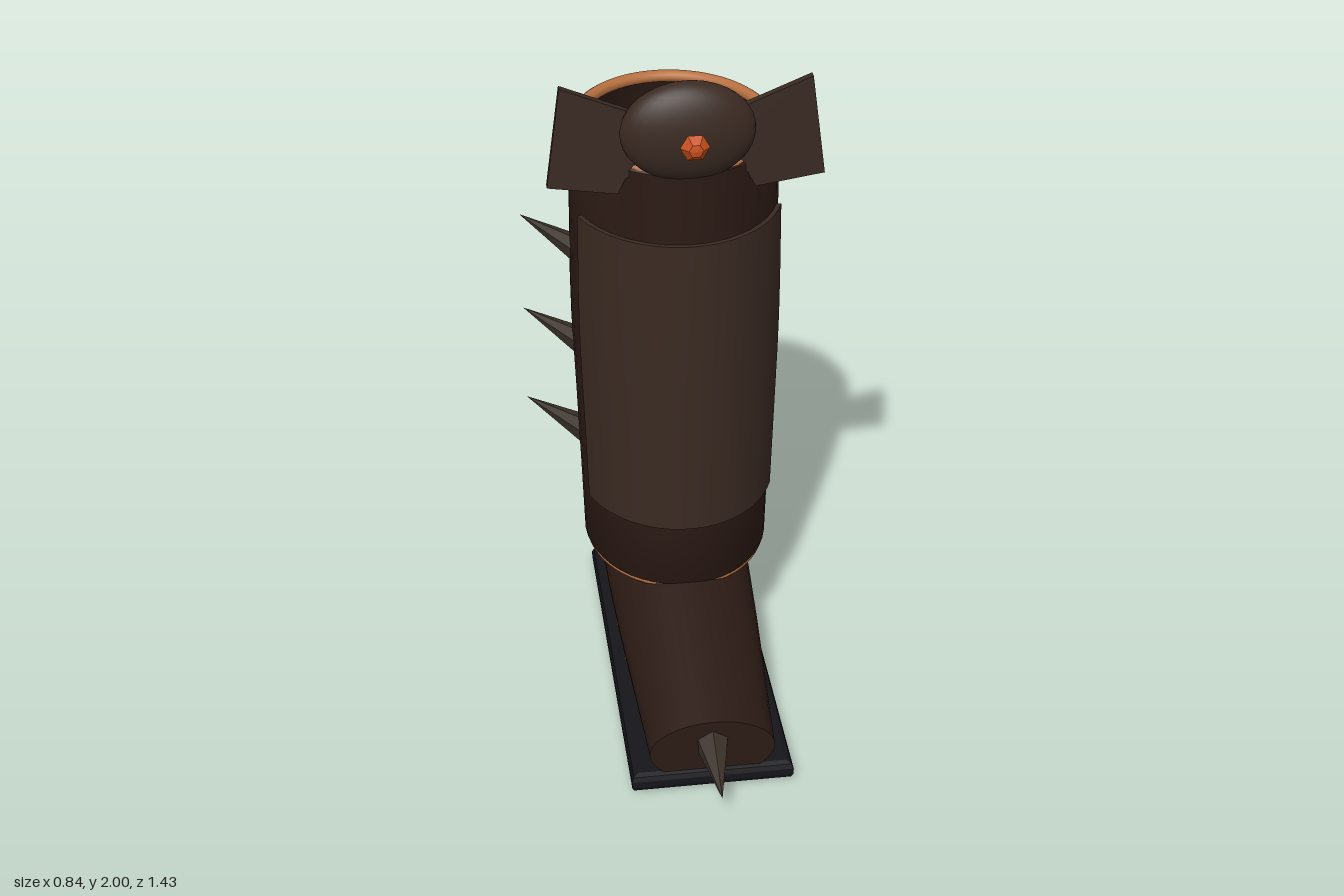
import * as THREE from 'three';
import { toCreasedNormals } from 'three/addons/utils/BufferGeometryUtils.js';

const CX = 0.03; // centre line of the boot
const mat = (color, extra = {}) => new THREE.MeshStandardMaterial({ color, ...extra });
const leather = mat(0x2b1a14, { side: THREE.DoubleSide });
const plate = mat(0x3a2a22);
const horn = mat(0x3a3028, { flatShading: true });
const rubber = mat(0x15151a);
const copper = mat(0xb87040);
const ember = mat(0xc8501e, { flatShading: true });

// Surface from a grid of points; wrap closes it around u
function grid(nu, nv, wrap, point) {
  const pos = [], idx = [], cols = wrap ? nu : nu + 1;
  for (let j = 0; j <= nv; j++)
    for (let i = 0; i < cols; i++) pos.push(...point(i, j));
  for (let j = 0; j < nv; j++)
    for (let i = 0; i < nu; i++) {
      const a = j * cols + i, b = j * cols + (i + 1) % cols;
      idx.push(a, b, b + cols, a, b + cols, a + cols);
    }
  const g = new THREE.BufferGeometry();
  g.setAttribute('position', new THREE.Float32BufferAttribute(pos, 3));
  g.setIndex(idx);
  g.computeVertexNormals();
  return toCreasedNormals(g, 0.6);
}

// Linear lookup in rows keyed by their first value
function lookup(rows, k) {
  let i = 0;
  while (i < rows.length - 2 && k > rows[i + 1][0]) i++;
  const a = rows[i], b = rows[i + 1], t = (k - a[0]) / (b[0] - a[0]);
  return a.map((v, n) => v + (b[n] - v) * t);
}

// Shaft: y, half width, centre z, half depth
const SHAFT = [
  [0.345, 0.277, -0.32, 0.332], [0.357, 0.285, -0.32, 0.34], [0.6, 0.292, -0.326, 0.348],
  [0.86, 0.3, -0.333, 0.357], [1.1, 0.308, -0.342, 0.368], [1.25, 0.309, -0.344, 0.37],
  [1.5, 0.306, -0.34, 0.364], [1.735, 0.303, -0.337, 0.358], [1.75, 0.293, -0.337, 0.347],
];
// Foot: z, half width, centre y, half height
const FOOT = [
  [-0.615, 0.225, 0.22, 0.192], [-0.2, 0.225, 0.22, 0.192],
  [0.02, 0.215, 0.19, 0.17], [0.53, 0.185, 0.125, 0.105],
];
const footPoint = (z, t, out = 0) => {
  const [, rx, cy, ry] = lookup(FOOT, z);
  return [CX + (rx + out) * Math.cos(t), cy + (ry + out) * Math.sin(t), z];
};
const shaftPoint = (y, t, out = 0) => {
  const [, rx, cz, rz] = lookup(SHAFT, y);
  return [CX + (rx + out) * Math.sin(t), y, cz + (rz + out) * Math.cos(t)];
};

export function createModel() {
  const model = new THREE.Group();
  const add = (name, geometry, material, parent = model) => {
    const m = new THREE.Mesh(geometry, material);
    m.name = name;
    parent.add(m);
    return m;
  };
  const group = (name) => {
    const g = new THREE.Group();
    g.name = name;
    model.add(g);
    return g;
  };

  // Shaft, open at both ends
  add('shaft', grid(48, SHAFT.length - 1, true,
    (i, j) => shaftPoint(SHAFT[j][0], i / 48 * Math.PI * 2)), leather);

  // Curved front plate, its border rows sunk into the shaft
  const NU = 26, NV = 10;
  add('shinPlate', grid(NU, NV, false, (i, j) => {
    const u = Math.min(Math.max(i - 1, 0), NU - 2) / (NU - 2);
    const v = Math.min(Math.max(j - 1, 0), NV - 2) / (NV - 2);
    const edge = i === 0 || i === NU || j === 0 || j === NV;
    return shaftPoint(0.57 + 0.955 * v, (u * 2 - 1) * 1.18, edge ? -0.01 : 0.014);
  }), plate);

  // Copper rims
  const rim = (name, y, rx, rz, cz, tube) => {
    const m = add(name, new THREE.TorusGeometry(1, tube / rx, 10, 64), copper);
    m.rotation.x = Math.PI / 2;
    m.scale.set(rx, rz, rx);
    m.position.set(CX, y, cz);
  };
  rim('topRim', 1.738, 0.28, 0.334, -0.337, 0.018);
  rim('bottomRim', 0.347, 0.268, 0.322, -0.32, 0.013);

  // Foot with flat toe and heel ends
  const zs = [FOOT[0][0], ...FOOT.map(r => r[0]), 0.53];
  add('foot', grid(40, zs.length - 1, true, (i, j) => {
    const end = j === 0 || j === zs.length - 1;
    if (end) return [CX, lookup(FOOT, zs[j])[2], zs[j]];
    return footPoint(zs[j], i / 40 * Math.PI * 2);
  }), leather);

  // Sole with bevelled edges
  const b = 0.02, hx = 0.24 - b, hz = 0.588 - b;
  const outline = new THREE.Shape([[-hx, -hz], [hx, -hz], [hx, hz], [-hx, hz]]
    .map(p => new THREE.Vector2(...p)));
  const soleGeo = new THREE.ExtrudeGeometry(outline,
    { depth: 0.02, bevelThickness: b, bevelSize: b, bevelSegments: 2 });
  soleGeo.rotateX(-Math.PI / 2).translate(CX, b, -0.042);
  add('sole', soleGeo, rubber);

  // Welt stitches lying along both sides of the foot
  const stitches = group('stitches');
  [[0.355, 0.09], [0.2, 0.105], [0.045, 0.12], [-0.11, 0.137]].forEach(([z, top]) => {
    const [, , cy, ry] = lookup(FOOT, z);
    const angle = y => Math.asin(Math.max(-1, (y - cy) / ry));
    for (const s of [1, -1]) {
      const at = y => {
        const p = footPoint(z, angle(y), 0.004);
        return new THREE.Vector3(CX + s * (p[0] - CX), p[1], z);
      };
      const lo = at(0.05), hi = at(top), dir = hi.clone().sub(lo);
      const m = add('stitch', new THREE.BoxGeometry(0.014, dir.length(), 0.03), copper, stitches);
      m.position.copy(lo).add(hi).multiplyScalar(0.5);
      m.quaternion.setFromUnitVectors(new THREE.Vector3(0, 1, 0), dir.normalize());
    }
  });

  // Spikes from base centre to tip
  const spike = (name, base, tip, r, parent) => {
    const a = new THREE.Vector3(...base), c = new THREE.Vector3(...tip), d = c.clone().sub(a);
    const m = add(name, new THREE.ConeGeometry(r, d.length(), 6), horn, parent);
    m.position.copy(a).add(c).multiplyScalar(0.5);
    m.quaternion.setFromUnitVectors(new THREE.Vector3(0, 1, 0), d.normalize());
  };
  const sideSpikes = group('sideSpikes');
  for (const y of [1.46, 1.148, 0.836])
    spike('sideSpike', [-0.235, y - 0.137, -0.36], [-0.422, y, -0.36], 0.045, sideSpikes);
  spike('toeSpike', [CX, 0.151, 0.49], [CX, 0.107, 0.72], 0.06);

  // Oval crest with a wing on each side
  const crest = add('crest', new THREE.SphereGeometry(1, 32, 20), plate);
  crest.scale.set(0.188, 0.145, 0.074);
  crest.position.set(0.028, 1.853, -0.016);
  const wings = group('wings');
  for (const s of [1, -1]) {
    const pts = [[0.06, 1.78], [0.17, 1.71], [0.193, 1.665], [0.388, 1.695], [0.347, 1.986], [0.1, 1.885]];
    const shape = new THREE.Shape(pts.map(([x, y]) => new THREE.Vector2(s * x, y)));
    const wing = add('wing', new THREE.ExtrudeGeometry(shape,
      { depth: 0.024, bevelEnabled: false }), plate, wings);
    wing.position.set(0.028, 0, -0.06);
  }

  // Cut gem in front of the crest: pointed back, flat front
  const gem = add('gem', new THREE.LatheGeometry(
    [[0, -0.033], [0.041, 0], [0.02, 0.024], [0, 0.028]].map(p => new THREE.Vector2(...p)), 6), ember);
  gem.geometry.rotateY(Math.PI / 6);
  gem.rotation.x = Math.PI / 2;
  gem.position.set(CX, 1.86, 0.11);

  return model;
}
